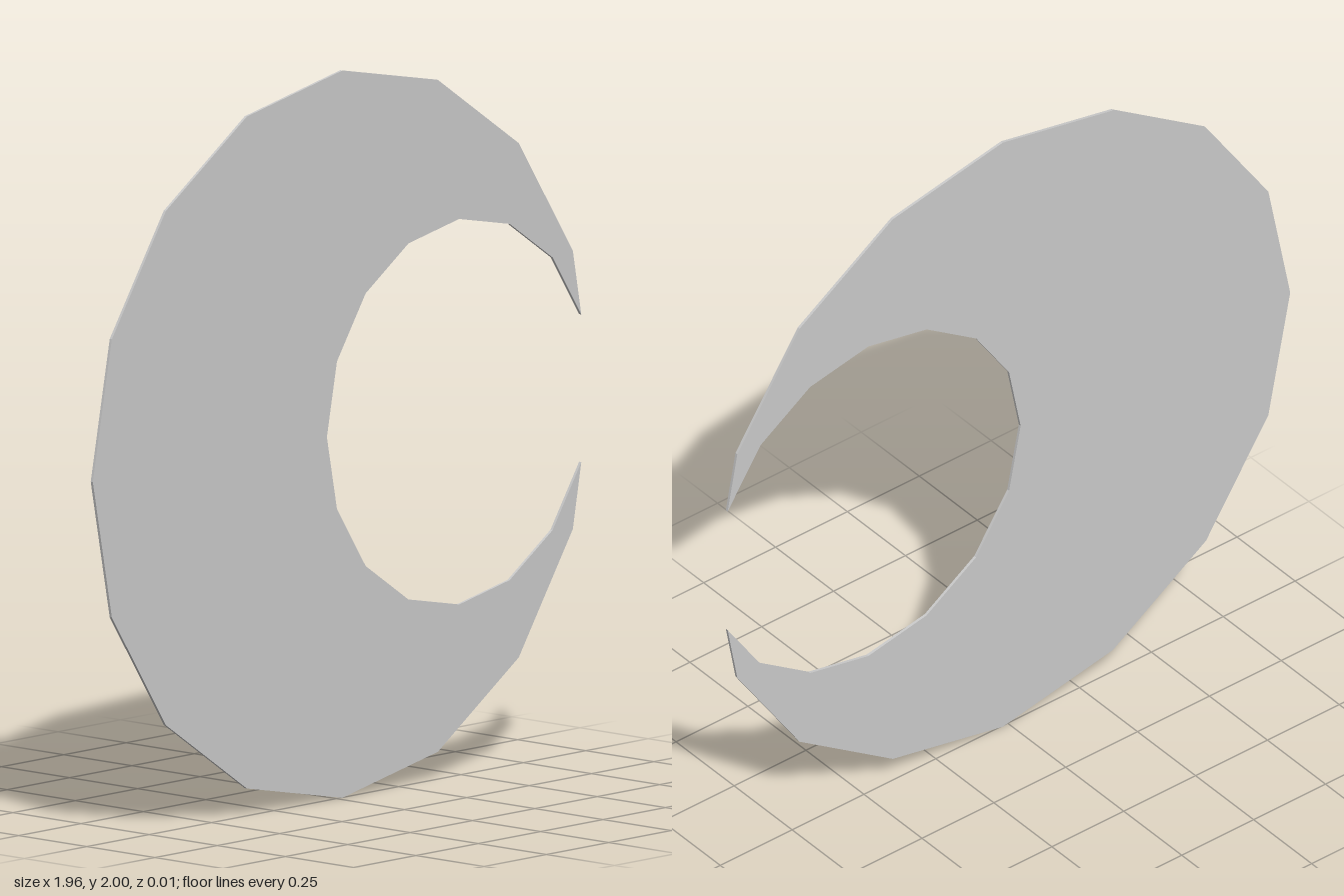
import * as THREE from 'three';

const SIDES = 16;
const DEPTH = 0.008;

// Corners 1..15 of a 16-sided ring, leaving out the one that points to +x
function arc(cx, radius) {
  const points = [];
  for (let i = 1; i < SIDES; i++) {
    const a = (i / SIDES) * Math.PI * 2;
    points.push(new THREE.Vector2(cx + radius * Math.cos(a), 1 + radius * Math.sin(a)));
  }
  return points;
}

export function createModel() {
  const group = new THREE.Group();
  group.name = 'crescent';

  // Outer rim one way, inner rim back; the inner ends form the two tips
  const outline = [...arc(0.02, 1), ...arc(0.488, 0.53).reverse()];
  const geometry = new THREE.ExtrudeGeometry(new THREE.Shape(outline), {
    depth: DEPTH,
    bevelEnabled: false,
  });
  geometry.translate(0, 0, -DEPTH / 2);

  // Thin flat crescent plate
  const plate = new THREE.Mesh(
    geometry,
    new THREE.MeshStandardMaterial({ color: 0xcccccc, flatShading: true })
  );
  plate.name = 'crescentPlate';
  group.add(plate);
  return group;
}
